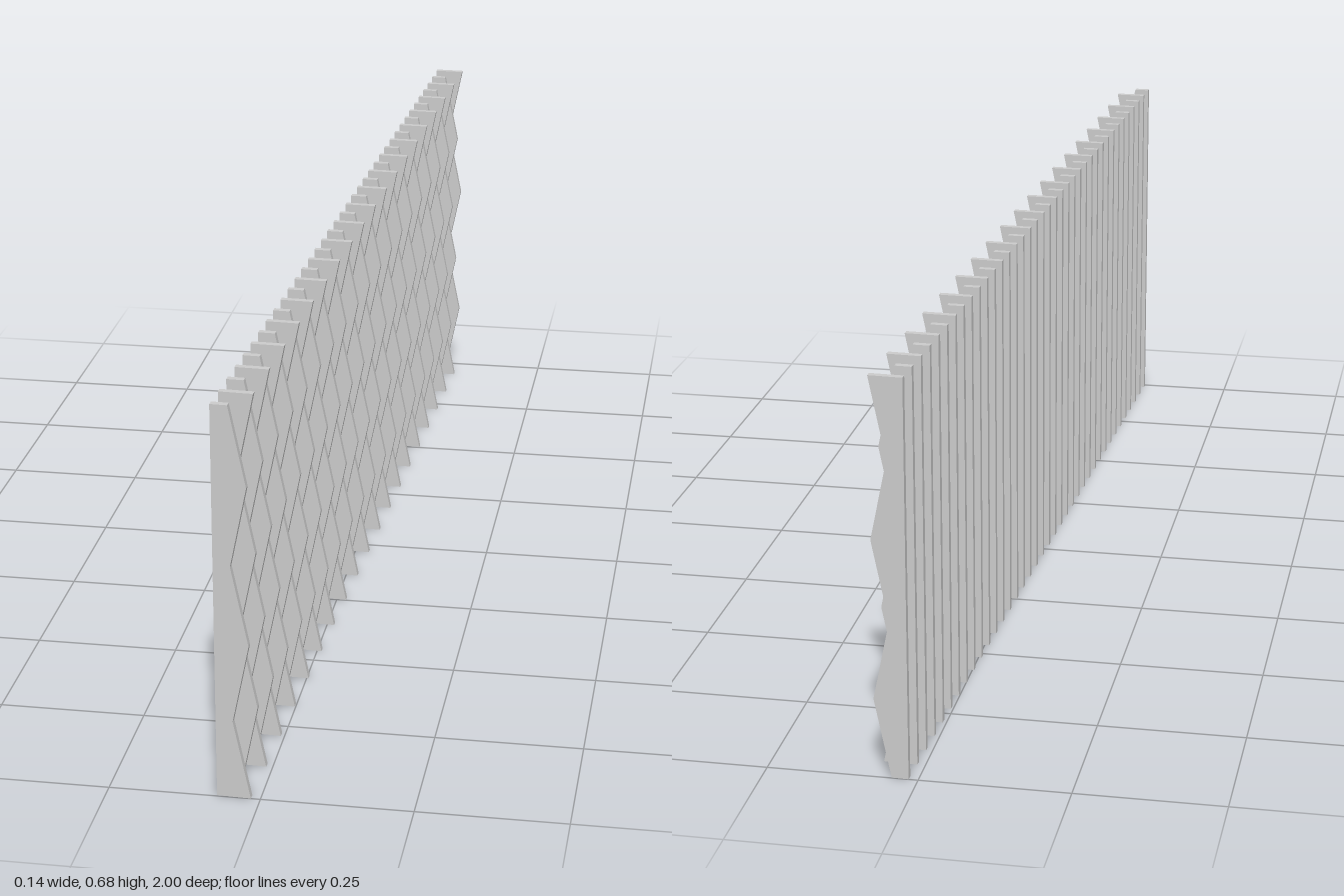
import * as THREE from 'three';

const COUNT = 38, LENGTH = 1.999, HEIGHT = 0.68, THICK = 0.011;
const WIDE = 0.056, NARROW = 0.028, FOLDS = 5;

// Upright slat with a straight back edge and a zigzag front edge
function slatGeometry(startWide) {
  const shape = new THREE.Shape();
  shape.moveTo(-WIDE / 2, 0);
  for (let k = 0; k <= FOLDS; k++) {
    const wide = (k % 2 === 0) === startWide;
    shape.lineTo(-WIDE / 2 + (wide ? WIDE : NARROW), (HEIGHT * k) / FOLDS);
  }
  shape.lineTo(-WIDE / 2, HEIGHT);
  shape.closePath();
  const geo = new THREE.ExtrudeGeometry(shape, { depth: THICK, bevelEnabled: false });
  return geo.translate(0, 0, -THICK / 2);
}

export function createModel() {
  const model = new THREE.Group();
  model.name = 'slatScreen';
  const material = new THREE.MeshStandardMaterial({ color: 0xcccccc, flatShading: true });
  const geometries = [slatGeometry(true), slatGeometry(false)];

  // Row of slats, alternating the zigzag phase
  const row = new THREE.Group();
  row.name = 'slatRow';
  const pitch = (LENGTH - THICK) / (COUNT - 1);
  for (let i = 0; i < COUNT; i++) {
    const slat = new THREE.Mesh(geometries[i % 2], material);
    slat.name = `slat${i + 1}`;
    slat.position.z = (LENGTH - THICK) / 2 - i * pitch;
    row.add(slat);
  }

  // The whole row stands slightly askew
  row.rotation.y = -0.0437;
  model.add(row);
  return model;
}
